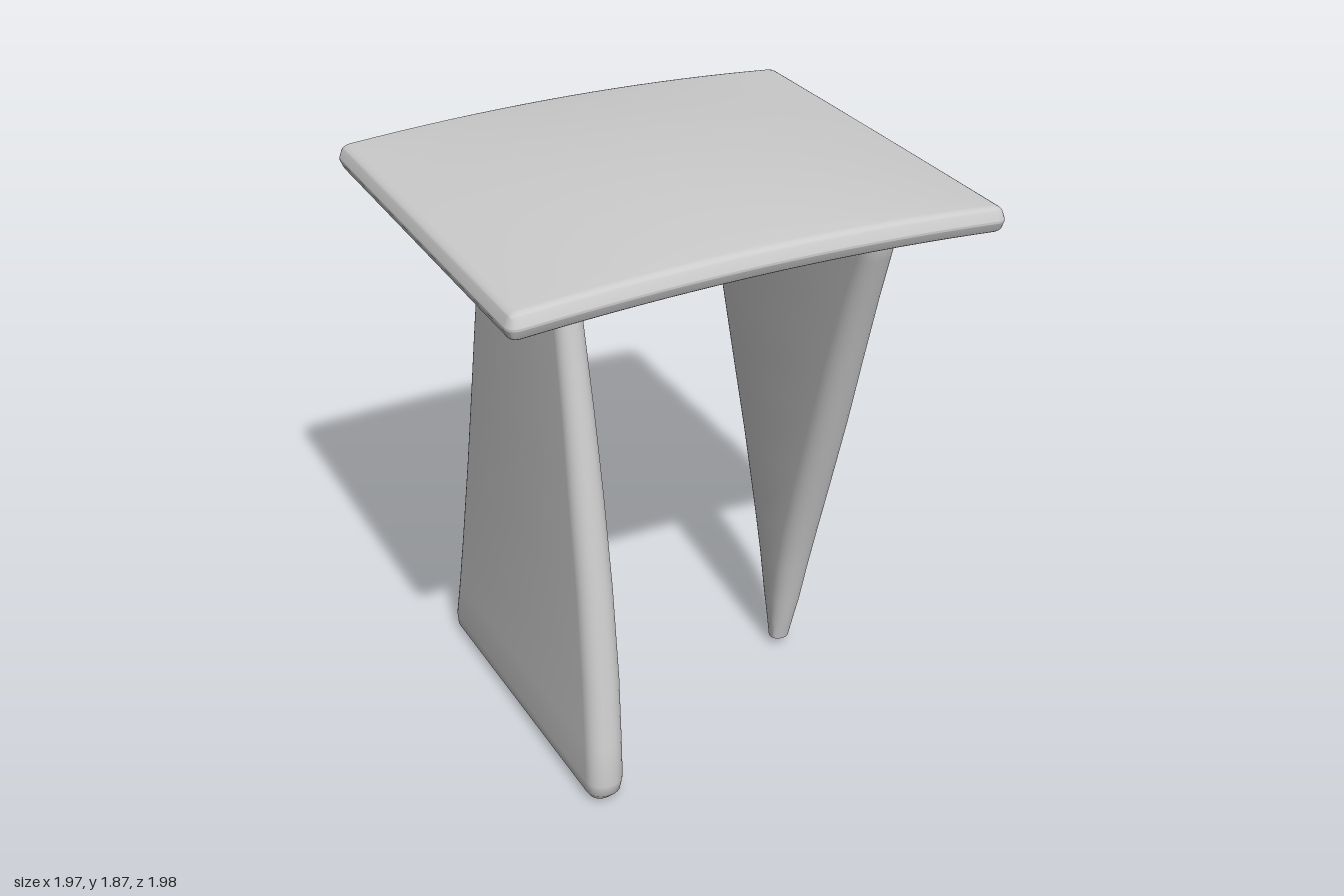
import * as THREE from 'three';
import { mergeVertices, toCreasedNormals } from 'three/addons/utils/BufferGeometryUtils.js';

const material = new THREE.MeshStandardMaterial({ color: 0xcccccc });

// Arched slab with soft rims: long along z, crowned in the middle
function seatGeometry(hx, hy, hz, r) {
  const geo = new THREE.BoxGeometry(2, 2, 2, 24, 8, 24);
  geo.deleteAttribute('uv');
  geo.deleteAttribute('normal');
  const pos = geo.attributes.position;
  // Put the outer quarter of the grid lines inside the rounded rim
  const spread = (c, h) => {
    const k = Math.abs(c);
    return Math.sign(c) * (k > 0.75 ? h - r + ((k - 0.75) / 0.25) * r : (k / 0.75) * (h - r));
  };
  const half = new THREE.Vector3(hx, hy, hz).subScalar(r);
  const p = new THREE.Vector3(), inner = new THREE.Vector3();
  for (let i = 0; i < pos.count; i++) {
    p.set(spread(pos.getX(i), hx), spread(pos.getY(i), hy), spread(pos.getZ(i), hz));
    inner.copy(p).clamp(half.clone().negate(), half);
    p.sub(inner).setLength(r).add(inner);
    const arch = 1 - (p.z / hz) ** 2;
    const dome = arch * (1 - (p.x / hx) ** 2);
    p.y += 0.03 * arch + (p.y > 0 ? 0.038 : 0.01) * dome;
    pos.setXYZ(i, p.x, p.y, p.z);
  }
  const merged = mergeVertices(geo, 1e-5);
  merged.computeVertexNormals();
  return merged;
}

// Panel lofted through rounded rectangles; rows are [y, width, thickness, z]
function legGeometry(rows) {
  const pts = [], index = [], steps = 6, n = 4 * (steps + 1);
  for (const [y, w, t, z] of rows) {
    const r = Math.min(w, t) * 0.46;
    for (let c = 0; c < 4; c++) {
      const sx = c === 0 || c === 3 ? 1 : -1, sz = c < 2 ? 1 : -1;
      for (let s = 0; s <= steps; s++) {
        const a = (c + s / steps) * Math.PI / 2;
        pts.push(sx * (w / 2 - r) + r * Math.cos(a), y, z + sz * (t / 2 - r) + r * Math.sin(a));
      }
    }
  }
  const last = (rows.length - 1) * n, bottom = rows.length * n, top = bottom + 1;
  pts.push(0, rows[0][0], rows[0][3], 0, rows.at(-1)[0], rows.at(-1)[3]);
  for (let i = 0; i < n; i++) {
    const k = (i + 1) % n;
    for (let j = 0; j < last; j += n) {
      index.push(j + i, j + n + i, j + k, j + k, j + n + i, j + n + k);
    }
    index.push(bottom, i, k, top, last + k, last + i);
  }
  const geo = new THREE.BufferGeometry();
  geo.setAttribute('position', new THREE.Float32BufferAttribute(pts, 3));
  geo.setIndex(index);
  return toCreasedNormals(geo, 0.8);
}

export function createModel() {
  const group = new THREE.Group();
  group.name = 'stool';
  const add = (name, geo, x, y) => {
    const mesh = new THREE.Mesh(geo, material);
    mesh.name = name;
    mesh.position.set(x, y, 0);
    group.add(mesh);
    return mesh;
  };

  add('seat', seatGeometry(0.66, 0.04, 0.76, 0.036), 0, 1.757);

  // Panel leg that flares toward the floor
  const flared = add('flaredLeg', legGeometry([
    [0, 0.98, 0.04, 0.448], [0.008, 1.05, 0.08, 0.448], [0.03, 1.09, 0.11, 0.446],
    [0.07, 1.1, 0.12, 0.443], [0.2, 1.06, 0.12, 0.435], [0.4, 1.0, 0.12, 0.425],
    [0.7, 0.9, 0.115, 0.416], [1.0, 0.79, 0.11, 0.412], [1.25, 0.7, 0.1, 0.411],
    [1.5, 0.6, 0.09, 0.411], [1.68, 0.545, 0.08, 0.411], [1.78, 0.53, 0.08, 0.411],
  ]), -0.04, 0);
  flared.rotation.y = 0.02;

  // Panel leg that narrows to a small foot
  add('taperedLeg', legGeometry([
    [0.03, 0.058, 0.065, -0.445], [0.1, 0.09, 0.08, -0.448], [0.2, 0.135, 0.1, -0.452],
    [0.35, 0.2, 0.115, -0.455], [0.5, 0.28, 0.125, -0.456], [0.75, 0.43, 0.13, -0.455],
    [1.0, 0.59, 0.13, -0.45], [1.25, 0.745, 0.125, -0.443], [1.5, 0.91, 0.115, -0.435],
    [1.65, 1.02, 0.105, -0.43], [1.72, 1.07, 0.1, -0.428], [1.77, 1.06, 0.09, -0.428],
  ]), 0.02, 0);

  // Turn the stool so a seat corner faces forward
  group.rotation.y = -THREE.MathUtils.degToRad(41.7);
  const model = new THREE.Group();
  model.add(group);
  return model;
}
